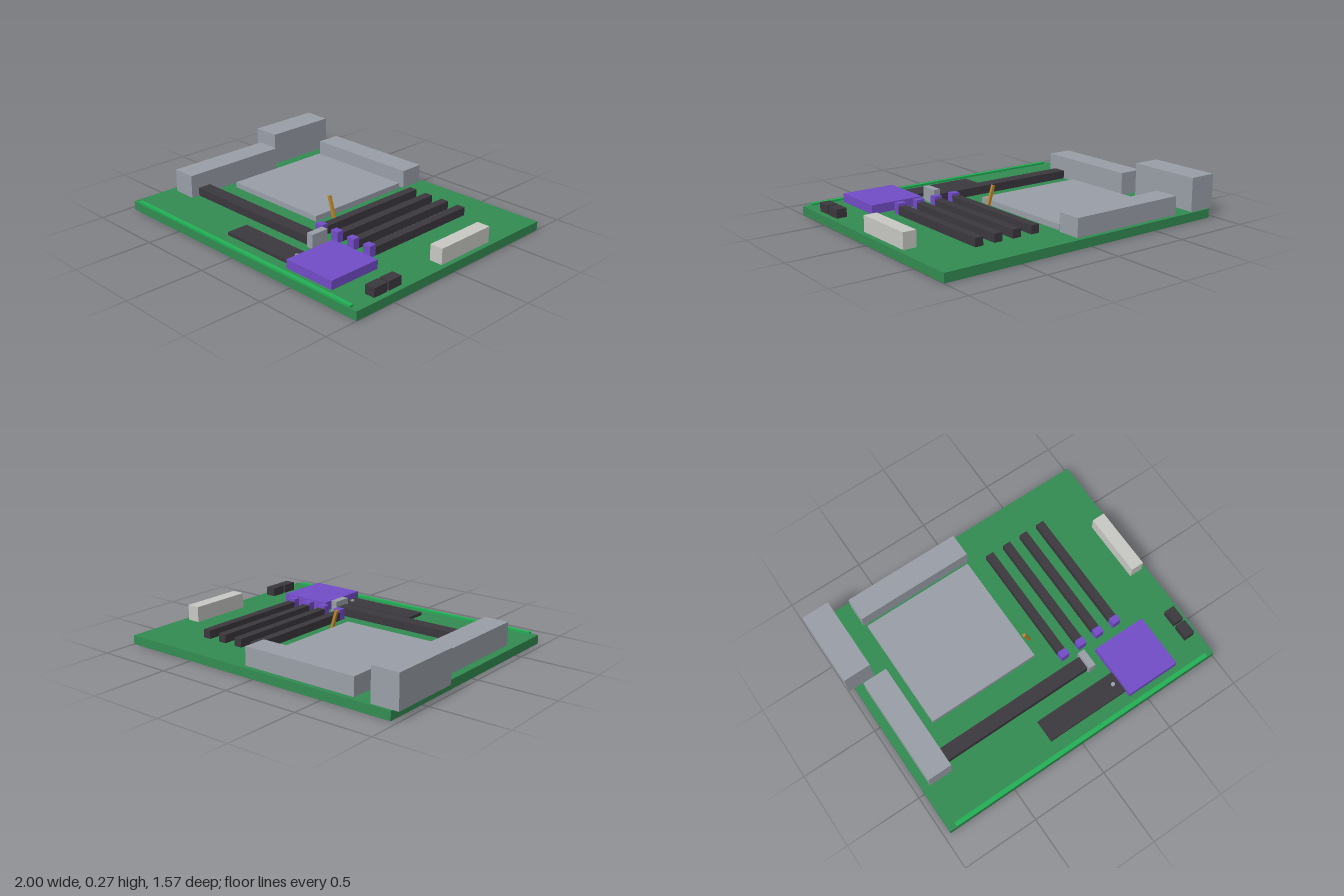
import * as THREE from 'three';

const mat = (name, color) => {
  const m = new THREE.MeshStandardMaterial({ color });
  m.name = name;
  return m;
};

export function createModel() {
  const group = new THREE.Group();
  group.name = 'circuitBoard';

  const boardGreen = mat('boardGreen', 0x338c52);
  const brightGreen = mat('brightGreen', 0x22b055);
  const metal = mat('metalGrey', 0x9a9fa8);
  const dark = mat('darkPlastic', 0x3b383e);
  const purple = mat('purple', 0x734dc8);
  const pale = mat('palePlastic', 0xc8c8c4);
  const gold = mat('gold', 0xb8862e);

  const top = 0.057; // upper face of the board
  const add = (name, geometry, material, x, y, z) => {
    const mesh = new THREE.Mesh(geometry, material);
    mesh.name = name;
    mesh.position.set(x, y, z);
    group.add(mesh);
    return mesh;
  };
  // Box given by its extents, standing on the board by default
  const block = (name, material, x0, x1, z0, z1, y1, y0 = top) =>
    add(name, new THREE.BoxGeometry(x1 - x0, y1 - y0, z1 - z0), material,
      (x0 + x1) / 2, (y0 + y1) / 2, (z0 + z1) / 2);

  // Board and the bright strip along its front edge
  block('board', boardGreen, -0.96, 1, -0.785, 0.782, top, 0);
  block('edgeStrip', brightGreen, -0.91, 0.95, 0.754, 0.782, 0.07);

  // Port housings, cooling block and processor socket
  block('tallPortHousing', metal, -1, -0.82, -0.77, -0.283, 0.27);
  block('lowPortHousing', metal, -0.908, -0.748, -0.23, 0.487, 0.205);
  block('coolingBlock', metal, -0.7, 0.08, -0.753, -0.597, 0.174);
  block('processorSocket', metal, -0.685, 0.065, -0.572, 0.175, 0.093);

  // Leaning socket lever
  const lever = add('socketLever', new THREE.BoxGeometry(0.018, 0.155, 0.018), gold, 0.087, 0.12, 0.06);
  lever.rotation.z = 0.3;

  // Four memory slots with end latches
  for (let i = 0; i < 4; i++) {
    const x = 0.187 + i * 0.13;
    block('memorySlot', dark, x, x + 0.054, -0.541, 0.25, 0.11);
    block('memoryLatch', purple, x, x + 0.054, 0.25, 0.296, 0.127);
  }

  // Expansion slot and its latch
  block('expansionSlot', dark, -0.75, 0.28, 0.343, 0.432, 0.11);
  block('expansionLatch', metal, 0.28, 0.325, 0.33, 0.45, 0.147);

  // Storage cover with screw, and the chip cover beside it
  block('storageCover', dark, -0.16, 0.396, 0.53, 0.675, 0.077);
  add('screw', new THREE.CylinderGeometry(0.013, 0.013, 0.012, 16), metal, 0.355, 0.08, 0.598);
  block('chipCover', purple, 0.396, 0.75, 0.36, 0.714, 0.113);

  // Power connector and two small sockets on the side edge
  block('powerConnector', pale, 0.882, 0.968, -0.345, 0.075, 0.157);
  for (const z of [0.405, 0.518]) block('sideSocket', dark, 0.898, 0.965, z, z + 0.098, 0.113);

  return group;
}
